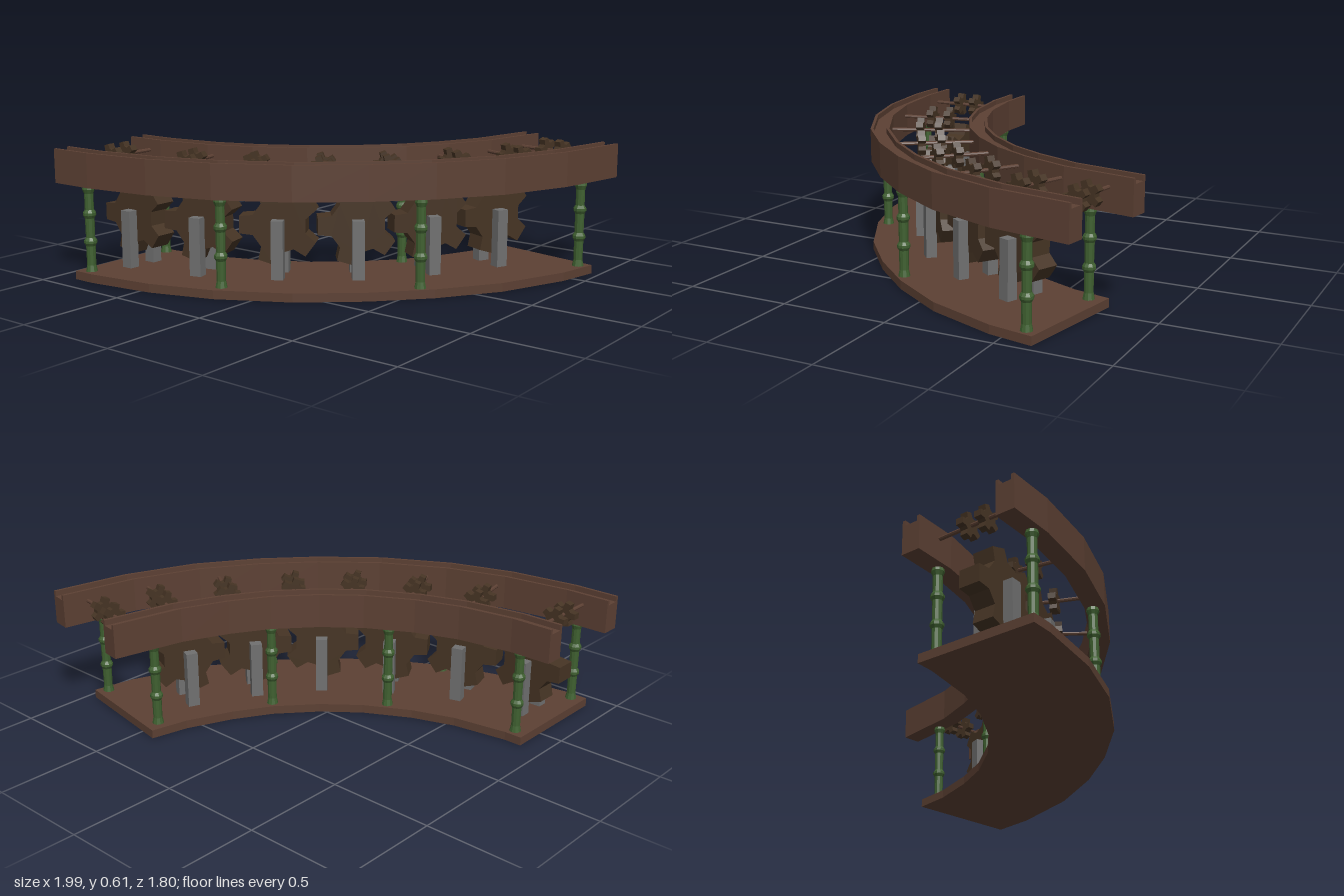
import * as THREE from 'three';

const mat = (color) => new THREE.MeshStandardMaterial({ color, flatShading: true });
const wood = mat(0x5c4033), darkWood = mat(0x463424), bamboo = mat(0x3f6030), stone = mat(0x707070);

// Inner and outer edges of the curved track, [x, z]
const INNER = [[-1, 0.335], [-0.8, 0.335], [-0.54, 0.295], [-0.34, 0.225], [-0.13, 0.11],
  [0.03, -0.02], [0.18, -0.19], [0.28, -0.36], [0.37, -0.57], [0.44, -0.9]];
const OUTER = [[-1, 0.9], [-0.78, 0.9], [-0.45, 0.855], [-0.15, 0.76], [0.16, 0.59],
  [0.41, 0.38], [0.61, 0.16], [0.79, -0.11], [0.92, -0.44], [0.99, -0.81]];
const RAIL = 0.16; // rail width as a share of the track width

function mesh(name, geometry, material, parent) {
  const m = new THREE.Mesh(geometry, material);
  m.name = name;
  parent.add(m);
  return m;
}

// Sweep a closed counter-clockwise section [t across, y] along the track
function sweep(inner, outer, section) {
  const rings = inner.map((a, j) => section.map(([t, y]) =>
    [a[0] + (outer[j][0] - a[0]) * t, y, a[1] + (outer[j][1] - a[1]) * t]));
  const pos = [];
  const tri = (a, b, c) => pos.push(...a, ...b, ...c);
  const n = section.length;
  for (let j = 0; j < rings.length - 1; j++) {
    for (let i = 0; i < n; i++) {
      const k = (i + 1) % n;
      tri(rings[j][i], rings[j + 1][i], rings[j + 1][k]);
      tri(rings[j][i], rings[j + 1][k], rings[j][k]);
    }
  }
  // End caps
  const pts = section.map(([t, y]) => new THREE.Vector2(t, y));
  const first = rings[0], last = rings[rings.length - 1];
  for (let [a, b, c] of THREE.ShapeUtils.triangulateShape(pts, [])) {
    if (THREE.ShapeUtils.area([pts[a], pts[b], pts[c]]) < 0) [b, c] = [c, b];
    tri(first[a], first[b], first[c]);
    tri(last[a], last[c], last[b]);
  }
  const g = new THREE.BufferGeometry();
  g.setAttribute('position', new THREE.Float32BufferAttribute(pos, 3));
  g.computeVertexNormals();
  return g;
}

// Five-toothed wheel in the xy plane, one tooth pointing to -x
function gearGeometry(tip, root, halfTip, halfRoot, depth) {
  const pts = [];
  for (let i = 0; i < 5; i++) {
    const a = Math.PI + (i * Math.PI * 2) / 5;
    for (const [r, w] of [[root, -halfRoot], [tip, -halfTip], [tip, halfTip], [root, halfRoot]]) {
      pts.push(new THREE.Vector2(r * Math.cos(a) - w * Math.sin(a), r * Math.sin(a) + w * Math.cos(a)));
    }
  }
  return new THREE.ExtrudeGeometry(new THREE.Shape(pts), { depth, bevelEnabled: false })
    .translate(0, 0, -depth / 2);
}

// Group standing on the track, turned to its heading in degrees
function station(name, [x, z, degrees], parent) {
  const g = new THREE.Group();
  g.name = name;
  g.position.set(x, 0, z);
  g.rotation.y = THREE.MathUtils.degToRad(degrees);
  parent.add(g);
  return g;
}

export function createModel() {
  const model = new THREE.Group();
  model.name = 'curvedGearTrack';

  // Base plate, a little shorter than the rails
  const baseInner = [[-0.885, 0.335], ...INNER.slice(1, -1), [0.41, -0.745]];
  const baseOuter = [[-0.885, 0.9], ...OUTER.slice(1, -1), [0.96, -0.645]];
  mesh('basePlate', sweep(baseInner, baseOuter, [[0, 0], [1, 0], [1, 0.04], [0, 0.04]]), wood, model);

  // Two rails with a shallow channel along the top
  for (const [name, t] of [['innerRail', 0], ['outerRail', 1 - RAIL]]) {
    const lip = 0.025, e = t + RAIL;
    mesh(name, sweep(INNER, OUTER, [[t, 0.44], [e, 0.44], [e, 0.6], [e - lip, 0.6],
      [e - lip, 0.575], [t + lip, 0.575], [t + lip, 0.6], [t, 0.6]]), wood, model);
  }

  // Jointed posts under the rails
  const profile = [[0, 0.04], [0.027, 0.04], [0.021, 0.07]];
  for (const y of [0.18, 0.31]) {
    profile.push([0.022, y - 0.02], [0.03, y - 0.006], [0.03, y + 0.006], [0.021, y + 0.02]);
  }
  profile.push([0.021, 0.405], [0.029, 0.425], [0.025, 0.445], [0, 0.445]);
  const postGeo = new THREE.LatheGeometry(profile.map(([r, y]) => new THREE.Vector2(r, y)), 10);
  for (const [x, z] of [[-0.825, 0.855], [-0.155, 0.7], [0.545, 0.18], [0.91, -0.6],
    [-0.825, 0.38], [-0.21, 0.2], [0.21, -0.16], [0.455, -0.67]]) {
    mesh('post', postGeo, bamboo, model).position.set(x, 0, z);
  }

  // Large gears between pairs of uprights
  const bigGear = gearGeometry(0.18, 0.118, 0.04, 0.046, 0.1);
  const upright = new THREE.BoxGeometry(0.055, 0.27, 0.05);
  const pin = new THREE.CylinderGeometry(0.02, 0.02, 0.15, 8).rotateX(Math.PI / 2);
  for (const place of [[-0.74, 0.62, 0], [-0.4, 0.545, 15], [-0.085, 0.38, 30],
    [0.19, 0.17, 42], [0.395, -0.1, 55], [0.55, -0.4, 67]]) {
    const g = station('largeGearStand', place, model);
    mesh('largeGear', bigGear, darkWood, g).position.y = 0.28;
    mesh('gearPin', pin, darkWood, g).position.y = 0.28;
    for (const s of [-1, 1]) mesh('upright', upright, stone, g).position.set(0, 0.175, s * 0.072);
  }

  // Cross axles between the rails, each with two small gears
  const smallGear = gearGeometry(0.058, 0.034, 0.014, 0.016, 0.035);
  const axle = new THREE.CylinderGeometry(0.009, 0.009, 0.41, 8).rotateX(Math.PI / 2);
  for (const place of [[-0.87, 0.62, 0], [-0.465, 0.56, 11.4], [-0.17, 0.455, 22.9], [0.095, 0.295, 34.3],
    [0.305, 0.09, 45.7], [0.485, -0.18, 57.1], [0.63, -0.465, 69], [0.69, -0.735, 80]]) {
    const g = station('crossAxle', place, model);
    mesh('axle', axle, wood, g).position.y = 0.547;
    for (const s of [-1, 1]) mesh('smallGear', smallGear, darkWood, g).position.set(0, 0.547, s * 0.046);
  }
  return model;
}
